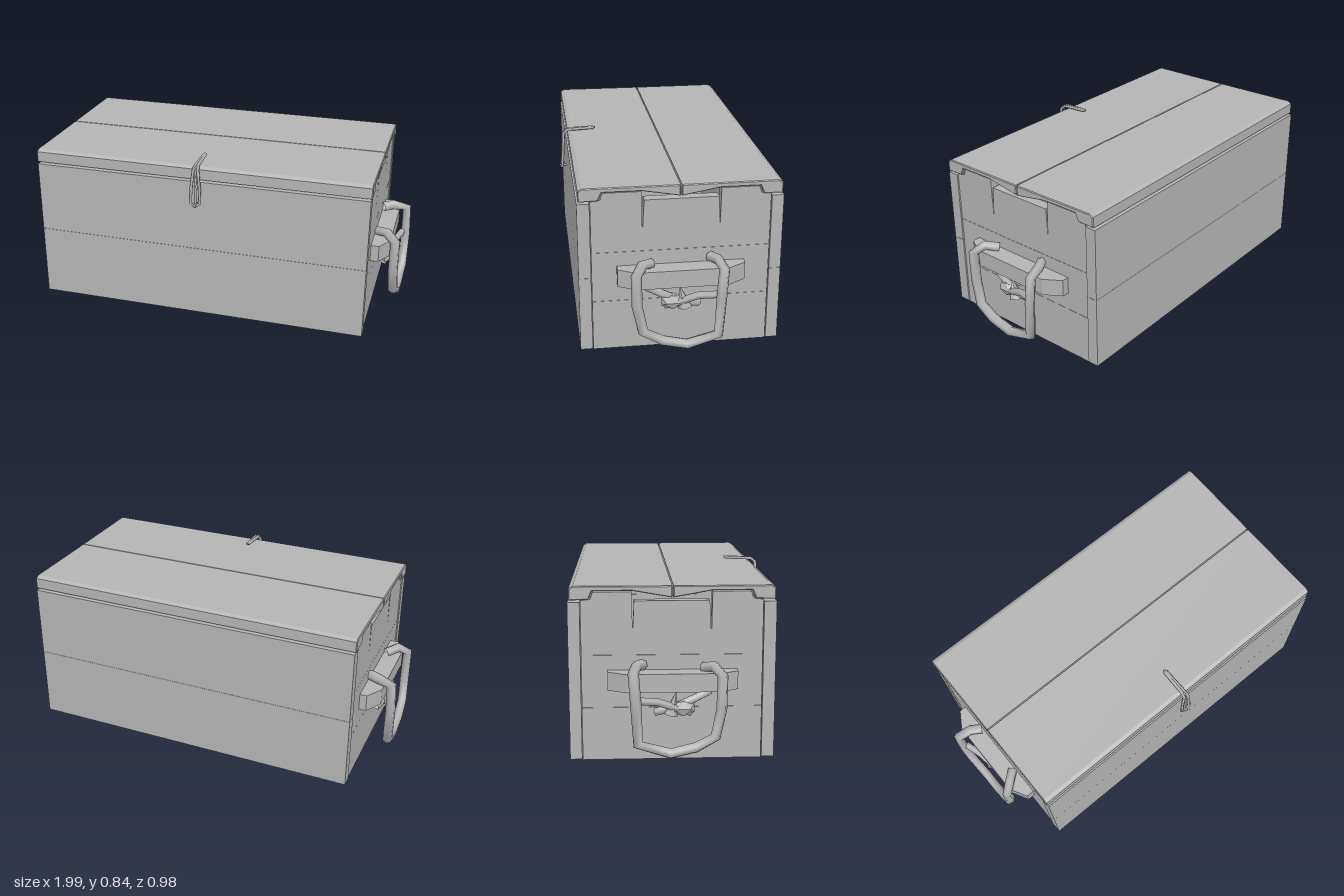
import * as THREE from 'three';

export function createModel() {
  const model = new THREE.Group();
  model.name = 'chest';
  const grey = new THREE.MeshStandardMaterial({ color: 0xb4b4b4, side: THREE.DoubleSide });
  grey.name = 'plain grey';

  const add = (name, geometry, parent = model) => {
    const mesh = new THREE.Mesh(geometry, grey);
    mesh.name = name;
    parent.add(mesh);
    return mesh;
  };
  const box = (name, x0, x1, y0, y1, z0, z1) =>
    add(name, new THREE.BoxGeometry(x1 - x0, y1 - y0, z1 - z0))
      .position.set((x0 + x1) / 2, (y0 + y1) / 2, (z0 + z1) / 2);
  const outline = (points) => new THREE.Shape(points.map(([a, b]) => new THREE.Vector2(a, b)));

  // Extrudes a (z, y) outline along x, centred on cx
  const alongX = (points, width, cx, bevel = 0) => {
    const g = new THREE.ExtrudeGeometry(outline(points), {
      depth: width - 2 * bevel, bevelEnabled: bevel > 0, bevelSize: bevel,
      bevelThickness: bevel, bevelOffset: -bevel, bevelSegments: 1,
    });
    g.translate(0, 0, -(width - 2 * bevel) / 2);
    g.rotateY(-Math.PI / 2);
    return g.translate(cx, 0, 0);
  };

  // Tube that passes straight between its points
  const rope = (name, points, radius, sides, parent, closed = false) => {
    const curve = new THREE.CatmullRomCurve3(
      points.map((p) => new THREE.Vector3(...p)), closed, 'catmullrom', 0);
    curve.getPointAt = curve.getPoint;
    curve.getTangentAt = curve.getTangent;
    const segments = closed ? points.length : points.length - 1;
    return add(name, new THREE.TubeGeometry(curve, segments, radius, sides, closed), parent);
  };

  // Front and back walls, two planks each
  for (const [y0, y1] of [[0.005, 0.372], [0.373, 0.737]]) {
    box('frontPlank', -0.85, 0.85, y0, y1, 0.393, 0.45);
    box('backPlank', -0.85, 0.85, y0, y1, -0.491, -0.436);
  }
  box('floor', -0.84, 0.84, 0.004, 0.04, -0.43, 0.39);

  // End walls: two plain planks and a notched, split top plank
  const topPlank = [
    [0.39, 0.495], [0.39, 0.745], [0.345, 0.75], [0.335, 0.783], [0.16, 0.783],
    [0.156, 0.58], [0.148, 0.742], [-0.193, 0.742], [-0.2, 0.6], [-0.203, 0.783],
    [-0.378, 0.783], [-0.388, 0.75], [-0.433, 0.745], [-0.433, 0.495],
  ];
  for (const s of [-1, 1]) {
    const end = new THREE.Group();
    end.name = s > 0 ? 'leftEnd' : 'rightEnd';
    model.add(end);
    for (const [y0, y1] of [[0, 0.249], [0.25, 0.494]]) {
      add('endPlank', alongX([[0.39, y0], [0.39, y1], [-0.433, y1], [-0.433, y0]], 0.05, s * 0.82), end);
    }
    add('endTopPlank', alongX(topPlank, 0.05, s * 0.82), end);

    // Handle block, tapered outward
    const block = new THREE.ExtrudeGeometry(outline([
      [s * 0.84, 0.275], [s * 0.885, 0.275], [s * 0.932, 0.19],
      [s * 0.932, -0.23], [s * 0.88, -0.315], [s * 0.84, -0.315],
    ]), { depth: 0.085, bevelEnabled: false });
    block.rotateX(Math.PI / 2);
    block.translate(0, 0.425, 0);
    add('handleBlock', block, end);

    // Hanging rope handle
    const mirror = (points) => points.map(([x, y, z]) => [s * x, y, z]);
    rope('ropeHandle', mirror([
      [0.86, 0.435, 0.12], [0.91, 0.452, 0.165], [0.955, 0.42, 0.198], [0.955, 0.27, 0.195],
      [0.96, 0.14, 0.168], [0.965, 0.093, 0.08], [0.965, 0.066, -0.035], [0.972, 0.112, -0.18],
      [0.975, 0.3, -0.19], [0.97, 0.44, -0.2], [0.9, 0.455, -0.185], [0.85, 0.45, -0.155],
    ]), 0.025, 6, end);

    // Knot under the block
    rope('knotStrand', mirror([
      [0.87, 0.33, 0.15], [0.89, 0.3, 0.08], [0.91, 0.26, -0.02], [0.88, 0.235, -0.1],
    ]), 0.02, 5, end);
    rope('knotStrand', mirror([
      [0.96, 0.31, -0.18], [0.93, 0.295, -0.09], [0.915, 0.26, 0], [0.89, 0.235, 0.06],
    ]), 0.018, 5, end);
    const knot = add('knot', new THREE.IcosahedronGeometry(0.05, 0), end);
    knot.scale.set(0.75, 0.8, 1.2);
    knot.position.set(s * 0.9, 0.26, 0.025);
    const tuft = add('knotTuft', new THREE.ConeGeometry(0.035, 0.11, 5), end);
    tuft.position.set(s * 0.91, 0.285, -0.02);
    tuft.rotation.x = 0.25;
  }

  // Lid: two boards, hollowed below and nearly meeting in the middle
  add('lidFrontBoard', alongX([
    [0.444, 0.747], [0.355, 0.75], [0.338, 0.788], [0.16, 0.788],
    [-0.016, 0.757], [-0.016, 0.81], [0.425, 0.811], [0.444, 0.8],
  ], 1.71, 0, 0.004));
  add('lidBackBoard', alongX([
    [-0.484, 0.747], [-0.396, 0.75], [-0.38, 0.788], [-0.2, 0.788],
    [-0.022, 0.757], [-0.022, 0.81], [-0.465, 0.811], [-0.484, 0.8],
  ], 1.71, 0, 0.004));

  // Cord latch: a narrow loop over the lid edge, with a toggle at its end
  const latch = new THREE.Group();
  latch.name = 'cordLatch';
  model.add(latch);
  const half = [[0.004, 0.828, 0.31], [0.007, 0.822, 0.445], [0.011, 0.805, 0.467], [0.02, 0.72, 0.472], [0.024, 0.635, 0.478]];
  const other = half.map(([x, y, z]) => [-x, y, z]).reverse();
  rope('cordLoop', [...half, [0, 0.618, 0.48], ...other], 0.008, 5, latch, true);
  rope('cordStrand', [[0, 0.83, 0.3], [0, 0.82, 0.455], [0, 0.725, 0.475], [0, 0.625, 0.472]], 0.006, 5, latch);
  const toggle = add('latchToggle', new THREE.CylinderGeometry(0.008, 0.008, 0.035, 5), latch);
  toggle.rotation.x = Math.PI / 2;
  toggle.position.set(0, 0.627, 0.474);

  return model;
}
